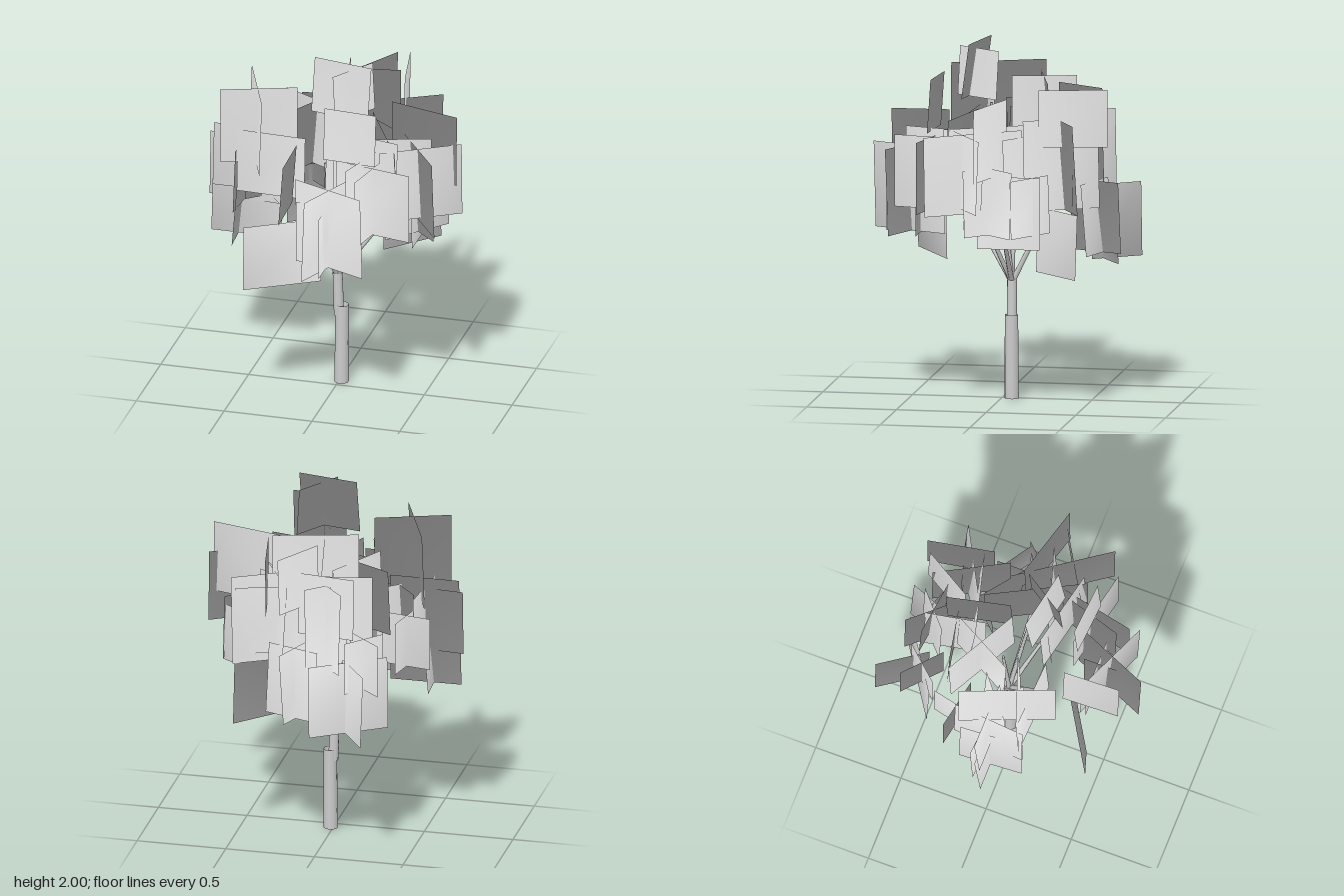
import * as THREE from 'three';

// Leaf cards: [centre x, centre z, half-span x, half-span z, ratio of crossing card (0 = none), bottom y, top y, inward lean]
const frontCards = [
  [0.095, 0.5, 0.21, 0.09, 1, 0.93, 1.41, -0.02],
  [-0.19, 0.425, 0.19, -0.115, 0, 0.76, 1.14, -0.008],
  [-0.145, 0.48, 0.005, 0.16, 0, 1.22, 1.57, 0.025],
  [0.17, 0.34, 0.15, 0.012, 0, 1.51, 1.81, 0.02],
  [0.24, 0.34, -0.05, 0.16, 0, 1.15, 1.53, -0.004],
  [0.3, 0.34, 0.22, 0.047, 0.97, 1.09, 1.49, 0],
  [0.075, 0.435, 0.185, 0, 0, 0.925, 1.28, 0],
  [0.075, 0.493, 0, 0.138, 0, 0.925, 1.28, 0],
];
const rightCards = [
  [-0.4, 0.15, 0.2, -0.07, 0, 1.37, 1.8, 0.015],
  [-0.433, 0.098, 0.098, 0.248, 0, 1.37, 1.8, 0.015],
  [-0.505, 0.015, 0.215, 0.018, 0.95, 1.07, 1.44, 0.015],
  [-0.5, 0.025, 0.2, 0, 0, 0.87, 1.24, 0.035],
  [-0.53, 0.04, 0.01, 0.18, 0, 0.87, 1.24, 0.03],
  [-0.5, 0.02, 0.195, 0, 0, 1.14, 1.5, 0.03],
  [-0.315, 0.205, 0.195, 0.01, 0, 1.2, 1.56, 0.018],
  [-0.37, 0, 0.12, -0.1, 1.1, 1.1, 1.45, 0.015],
  [-0.443, -0.193, 0.143, 0.027, 0, 1.05, 1.35, 0],
  [-0.452, -0.172, 0.037, -0.163, 0, 1.05, 1.35, 0],
];
const leftCards = [
  [0.195, 0.19, 0.215, 0.047, 0, 1.2, 1.6, 0.02],
  [0.278, -0.005, 0.132, 0.255, 0, 1.1, 1.55, 0.018],
  [0.287, 0.09, 0.257, -0.08, 0, 1.13, 1.55, 0.02],
  [0.518, 0.13, -0.2, 0.12, 0, 1.13, 1.54, 0.015],
  [0.47, 0.078, 0.17, 0.243, 0, 1.1, 1.54, 0.015],
  [0.44, -0.115, 0, 0.175, 0, 0.9, 1.3, 0.015],
  [0.46, -0.235, 0.13, 0.085, 0, 0.98, 1.3, 0.015],
  [0.455, 0, 0.14, -0.153, 0.8, 0.98, 1.35, 0.015],
  [0.495, -0.02, 0.2, 0.056, 0, 1.3, 1.71, 0.004],
  [0.275, -0.185, 0.135, 0.105, 0, 1.15, 1.5, 0.015],
];
const backCards = [
  [0.257, -0.375, 0.212, -0.115, 0.9, 1.1, 1.6, 0.03],
  [0.328, -0.363, 0.128, -0.132, 0, 0.74, 1.1, 0.015],
  [0.05, -0.26, 0.23, -0.06, 0, 1.42, 1.8, 0.03],
  [0.02, -0.24, 0.04, 0.175, 0, 1.42, 1.8, 0.03],
  [0.25, -0.42, 0.2, -0.055, 0, 1.15, 1.54, -0.004],
  [0.28, -0.445, 0.035, 0.185, 0, 1.45, 1.77, -0.004],
  [0.117, -0.55, 0.148, 0.05, 0, 0.84, 1.24, 0.035],
  [0.088, -0.535, -0.057, 0.145, 0, 0.84, 1.24, 0.03],
  [-0.163, -0.155, 0.203, 0.11, 0.85, 1.25, 1.63, 0.02],
  [-0.07, -0.345, 0.21, -0.04, 0.8, 1.16, 1.6, 0.015],
  [-0.193, -0.513, 0.193, -0.128, 0, 0.76, 1.17, 0.015],
  [-0.233, -0.595, 0.087, 0.125, 0, 0.76, 1.17, 0.015],
  [-0.06, -0.475, 0.16, 0.02, 0, 1.3, 1.65, 0.015],
  [-0.06, -0.485, 0.107, 0.12, 0.8, 1.13, 1.6, 0.015],
  [-0.27, -0.465, 0.1, 0.09, 0.95, 1.0, 1.3, 0],
  [0.1, -0.46, 0.08, -0.135, 0, 1.45, 1.77, 0.015],
];
const crownCards = [
  [0.065, 0.132, 0.17, 0.033, 0, 1.69, 2.0, 0.045],
  [0.13, 0.11, -0.08, 0.122, 0, 1.69, 1.96, 0.02],
];

export function createModel() {
  const tree = new THREE.Group();
  tree.name = 'tree';
  const paleGrey = new THREE.MeshStandardMaterial({ color: 0xcccccc, side: THREE.DoubleSide });
  paleGrey.name = 'pale grey';

  // Tapered open limb between two points
  function limb(name, from, to, r0, r1, sides = 10) {
    const a = new THREE.Vector3(...from);
    const d = new THREE.Vector3(...to).sub(a);
    const mesh = new THREE.Mesh(new THREE.CylinderGeometry(r1, r0, d.length(), sides, 1, true), paleGrey);
    mesh.position.copy(a).addScaledVector(d, 0.5);
    mesh.quaternion.setFromUnitVectors(new THREE.Vector3(0, 1, 0), d.normalize());
    mesh.name = name;
    tree.add(mesh);
  }
  limb('lowerTrunk', [0.014, 0, -0.055], [0.018, 0.465, -0.055], 0.04, 0.037);
  limb('upperTrunk', [0, 0.4, -0.053], [-0.008, 0.655, -0.053], 0.028, 0.027);

  // Branches fan out from the top of the trunk
  const tips = [
    [0.31, 1.07, -0.04], [0.22, 1.1, 0.1], [-0.12, 1.12, 0.25],
    [0.01, 1.33, -0.4], [0.06, 1.65, 0.05], [-0.08, 1.3, -0.06],
  ];
  for (const tip of tips) limb('branch', [-0.008, 0.64, -0.053], tip, 0.015, 0.008, 6);

  // Leaf card facing out of the crown, with soft normals that fan up and out from its base
  const crownBase = new THREE.Vector3(0, 0.6, -0.05);
  function card(parent, x, z, hx, hz, y0, y1, lean) {
    const h = y1 - y0;
    const geo = new THREE.PlaneGeometry(2 * Math.hypot(hx, hz), h);
    let yaw = Math.atan2(-hz, hx);
    if (Math.sin(yaw) * x + Math.cos(yaw) * (z + 0.2) < 0) yaw += Math.PI;
    geo.rotateX(-Math.atan2(lean, h)).rotateY(yaw).translate(x, (y0 + y1) / 2, z);
    const { position, normal } = geo.attributes;
    const n = new THREE.Vector3();
    for (let i = 0; i < position.count; i++) {
      n.fromBufferAttribute(position, i).sub(crownBase).normalize();
      normal.setXYZ(i, n.x, n.y, n.z);
    }
    const mesh = new THREE.Mesh(geo, paleGrey);
    mesh.name = 'leafCard';
    parent.add(mesh);
  }
  const areas = {
    frontFoliage: frontCards, rightFoliage: rightCards, leftFoliage: leftCards,
    backFoliage: backCards, crownFoliage: crownCards,
  };
  for (const [name, rows] of Object.entries(areas)) {
    const group = new THREE.Group();
    group.name = name;
    for (const [x, z, hx, hz, k, y0, y1, lean] of rows) {
      card(group, x, z, hx, hz, y0, y1, lean);
      if (k) card(group, x, z, -hz * k, hx * k, y0, y1, lean);
    }
    tree.add(group);
  }
  return tree;
}
